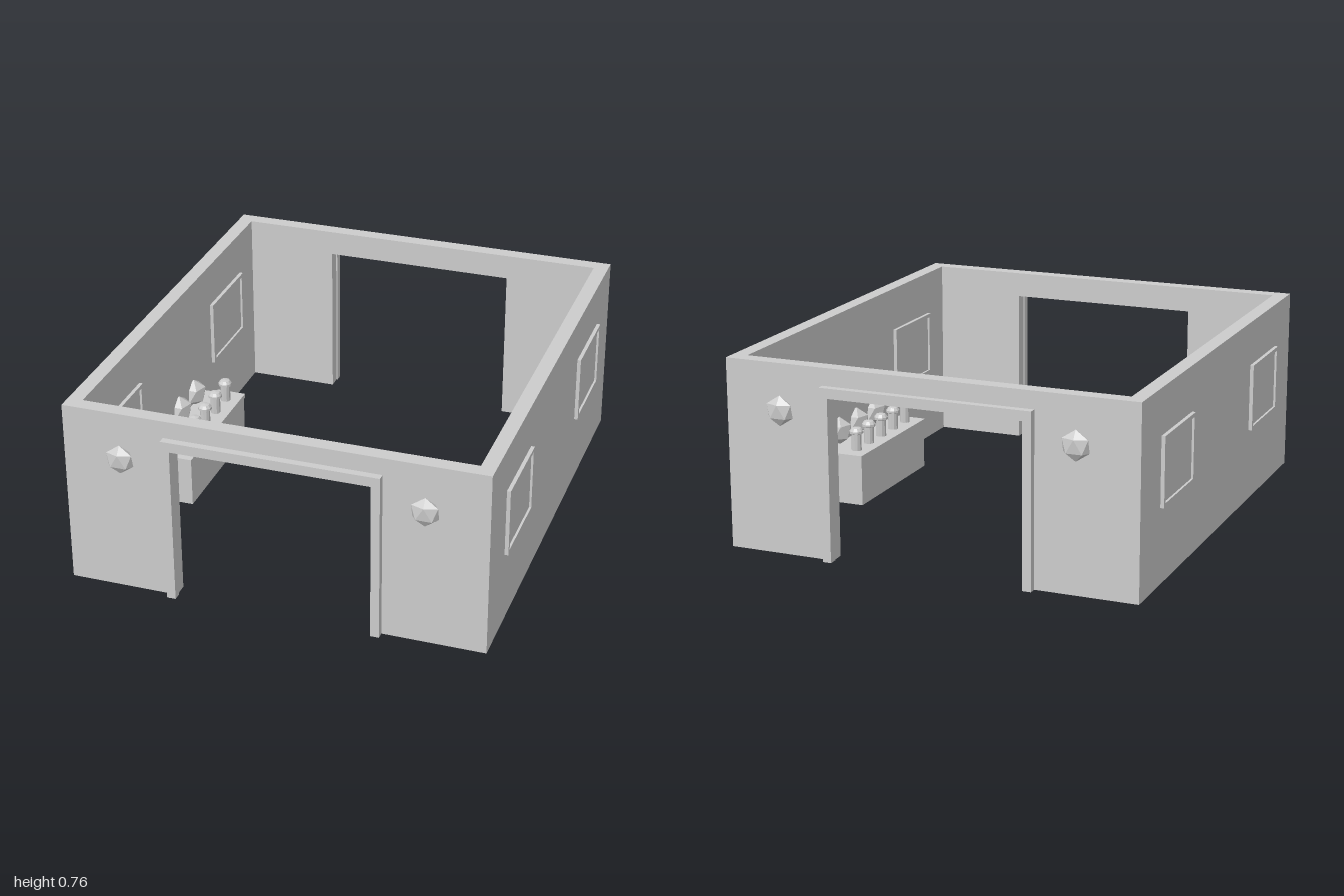
import * as THREE from 'three';

export function createModel() {
  const root = new THREE.Group();
  root.name = 'openHall';
  const grey = new THREE.MeshStandardMaterial({ color: 0xcccccc, flatShading: true });
  grey.name = 'plain grey';

  const add = (parent, name, geometry, x = 0, y = 0, z = 0) => {
    const mesh = new THREE.Mesh(geometry, grey);
    mesh.name = name;
    mesh.position.set(x, y, z);
    parent.add(mesh);
    return mesh;
  };
  // Box given by its minimum and maximum corners
  const box = (parent, name, a, b) => add(parent, name,
    new THREE.BoxGeometry(b[0] - a[0], b[1] - a[1], b[2] - a[2]),
    (a[0] + b[0]) / 2, (a[1] + b[1]) / 2, (a[2] + b[2]) / 2);
  // Door-shaped arch: outer block with an opening down to the floor
  const arch = (w, h, ow, oh, depth) => {
    const shape = new THREE.Shape([
      [-w, 0], [-ow, 0], [-ow, oh], [ow, oh], [ow, 0], [w, 0], [w, h], [-w, h],
    ].map(([x, y]) => new THREE.Vector2(x, y)));
    return new THREE.ExtrudeGeometry(shape, { depth, bevelEnabled: false });
  };
  // Faceted ball with a corner pointing up
  const ball = (r, sx, sz) => new THREE.IcosahedronGeometry(r, 0)
    .rotateX(-Math.atan((1 + Math.sqrt(5)) / 2)).scale(sx, 1, sz);

  const H = 0.76, X = 0.84, Z = 0.95, T = 0.06;

  // End walls with doorways, door surrounds and wall lamps
  for (const end of [1, -1]) {
    const group = new THREE.Group();
    group.name = end > 0 ? 'frontWall' : 'backWall';
    group.rotation.y = end > 0 ? 0 : Math.PI;
    root.add(group);
    add(group, 'endWall', arch(X - T, H, 0.4, 0.655, T), 0, 0, Z - T);
    add(group, 'doorSurround', arch(0.43, 0.69, 0.395, 0.65, 0.035), 0, 0, Z - 0.005);
    for (const s of [-1, 1]) add(group, 'wallLamp', ball(0.06, 1, 0.47), s * 0.6, 0.58, 0.975);
  }

  // Small bottle profile
  const bottle = new THREE.LatheGeometry([
    [0, 0], [0.021, 0], [0.021, 0.07], [0.029, 0.074], [0.029, 0.084], [0.02, 0.096], [0, 0.1],
  ].map(([x, y]) => new THREE.Vector2(x, y)), 10);

  // Window frame running through the wall
  const frameShape = new THREE.Shape([
    [-0.177, -0.138], [0.177, -0.138], [0.177, 0.138], [-0.177, 0.138],
  ].map(([x, y]) => new THREE.Vector2(x, y)));
  frameShape.holes.push(new THREE.Path([
    [-0.161, -0.122], [-0.161, 0.122], [0.161, 0.122], [0.161, -0.122],
  ].map(([x, y]) => new THREE.Vector2(x, y))));
  const frame = new THREE.ExtrudeGeometry(frameShape, { depth: 0.09, bevelEnabled: false })
    .translate(0, 0, -0.045).rotateY(Math.PI / 2);

  // Side walls with windows, counter, shelf, bottles and lamps
  for (const s of [1, -1]) {
    const side = new THREE.Group();
    side.name = s > 0 ? 'leftSide' : 'rightSide';
    side.rotation.y = s > 0 ? 0 : Math.PI;
    root.add(side);
    box(side, 'sideWall', [X - T, 0, -Z], [X, H, Z]);
    for (const z of [-0.555, 0.555]) {
      add(side, 'windowFrame', frame, X - T / 2, 0.44, z);
      add(side, 'windowPane', new THREE.BoxGeometry(0.072, 0.25, 0.33), X - T / 2, 0.44, z);
    }
    box(side, 'counter', [0.603, 0, -0.3], [0.725, 0.2, 0.3]);
    box(side, 'counterTop', [0.6, 0.195, -0.306], [0.727, 0.213, 0.306]);
    box(side, 'backShelf', [0.72, 0, -0.288], [0.785, 0.21, 0.288]);
    for (let i = -2; i <= 2; i++) add(side, 'bottle', bottle, 0.66, 0.212, i * 0.115);
    for (let i = -1; i <= 1; i++) add(side, 'shelfLamp', ball(0.06, 0.9, 1), 0.775, 0.265, i * 0.16);
  }
  return root;
}
